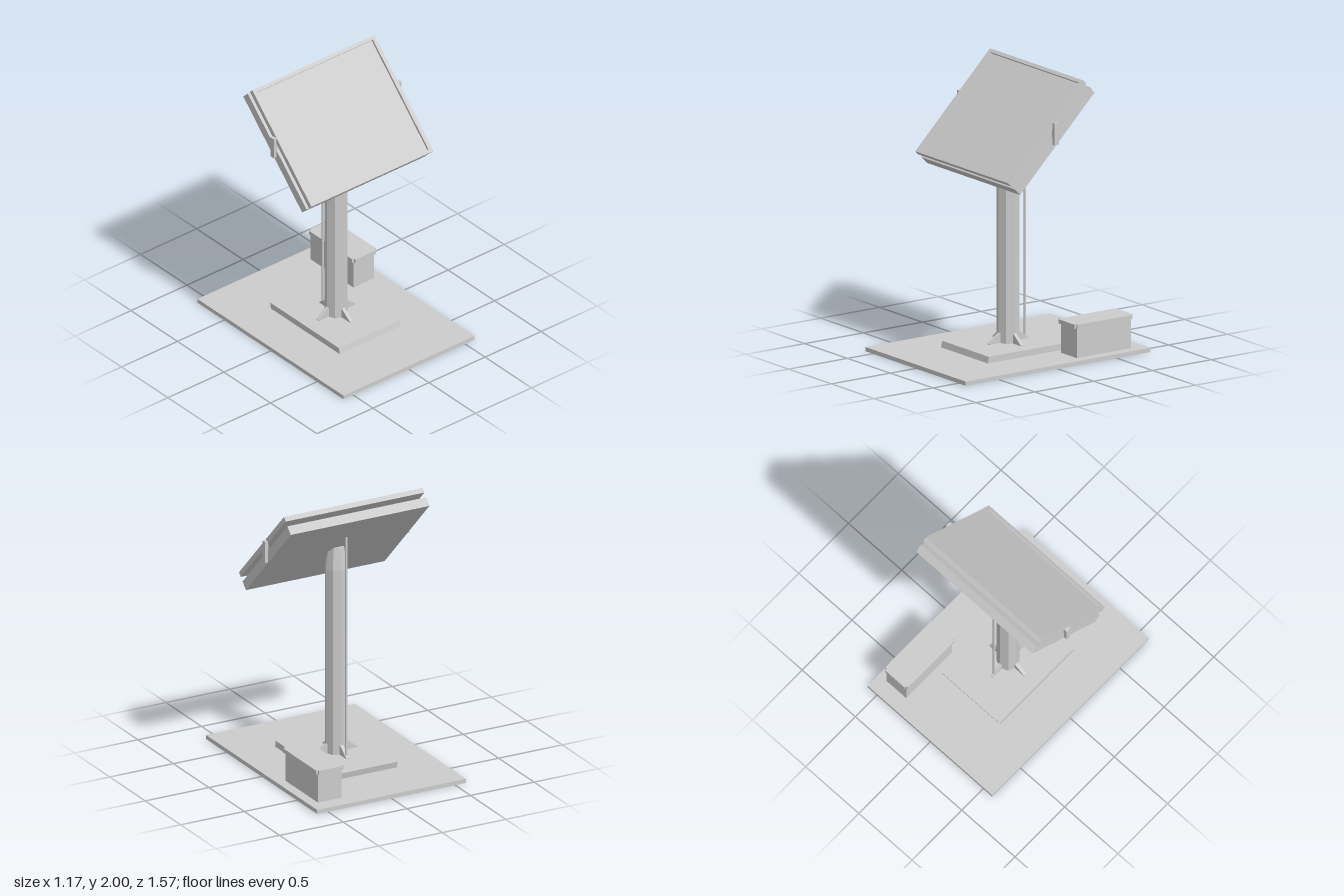
import * as THREE from 'three';

export function createModel() {
  const model = new THREE.Group();
  model.name = 'tiltedDisplayStand';
  const grey = new THREE.MeshStandardMaterial({ color: 0xcccccc, flatShading: true });
  grey.name = 'light grey';

  const add = (name, geometry, x = 0, y = 0, z = 0, parent = model) => {
    const mesh = new THREE.Mesh(geometry, grey);
    mesh.name = name;
    mesh.position.set(x, y, z);
    parent.add(mesh);
    return mesh;
  };
  const box = (w, h, d) => new THREE.BoxGeometry(w, h, d);
  const polygon = (points) => new THREE.Shape(points.map(([x, y]) => new THREE.Vector2(x, y)));
  const extrude = (shape, depth) => new THREE.ExtrudeGeometry(shape, { depth, bevelEnabled: false });

  // Ground slab
  add('groundSlab', box(1.17, 0.03, 1.57), 0, 0.015, 0);

  // Plinth, with its upper face shifted slightly back
  const plinth = box(0.546, 0.045, 0.74);
  const pos = plinth.attributes.position;
  for (let i = 0; i < pos.count; i++) if (pos.getY(i) > 0) pos.setZ(i, pos.getZ(i) - 0.01);
  plinth.computeVertexNormals();
  add('plinth', plinth, 0, 0.0525, 0);

  // Octagonal post with a tapered head
  add('post', new THREE.CylinderGeometry(0.08, 0.08, 1.365, 8), 0, 0.7575, 0);
  add('postHead', new THREE.CylinderGeometry(0.058, 0.08, 0.16, 8), 0, 1.52, 0);

  // Four gussets around the foot of the post
  const gussetShape = polygon([[0.05, 0], [0.165, 0], [0.165, 0.006], [0.08, 0.07], [0.05, 0.07]]);
  const gussetGeometry = extrude(gussetShape, 0.025).translate(0, 0, -0.0125);
  for (let i = 0; i < 4; i++) {
    add('gusset', gussetGeometry, 0, 0.075, 0).rotation.y = (i * Math.PI) / 2;
  }

  // Cable conduit behind the post
  add('conduit', new THREE.CylinderGeometry(0.008, 0.008, 1.64, 8), 0, 0.895, -0.143);

  // Tilted panel assembly: local +z is the viewing direction
  const panels = new THREE.Group();
  panels.name = 'panels';
  panels.position.set(0, 1.61, 0);
  panels.rotation.x = -Math.PI / 4;
  model.add(panels);
  add('backPanel', box(1.09, 0.895, 0.067), 0, 0, 0, panels);

  // Front panel: raised frame round a recessed screen
  const w = 0.545, h = 0.449, iw = 0.515, ih = 0.423;
  const frame = polygon([[-w, -h], [w, -h], [w, h], [-w, h]]);
  frame.holes.push(new THREE.Path([[-iw, -ih], [-iw, ih], [iw, ih], [iw, -ih]].map(([x, y]) => new THREE.Vector2(x, y))));
  add('frontFrame', extrude(frame, 0.036), 0, 0, 0.069, panels);
  add('screen', box(2 * iw, 2 * ih, 0.018), 0, 0, 0.078, panels);

  // Upright side brackets joining the two panels
  for (const s of [-1, 1]) add('sideBracket', box(0.03, 0.155, 0.036), s * 0.554, 1.6625, 0);

  // Equipment box with a lid whose corners are notched
  add('cabinet', box(0.185, 0.21, 0.46), 0.4225, 0.135, -0.44);
  const a = 0.1075, b = 0.2475, n = 0.016;
  const lid = polygon([
    [-a + n, -b], [a - n, -b], [a - n, -b + n], [a, -b + n], [a, b - n], [a - n, b - n],
    [a - n, b], [-a + n, b], [-a + n, b - n], [-a, b - n], [-a, -b + n], [-a + n, -b + n],
  ]);
  add('cabinetLid', extrude(lid, 0.03).rotateX(-Math.PI / 2), 0.4225, 0.24, -0.4375);

  return model;
}
